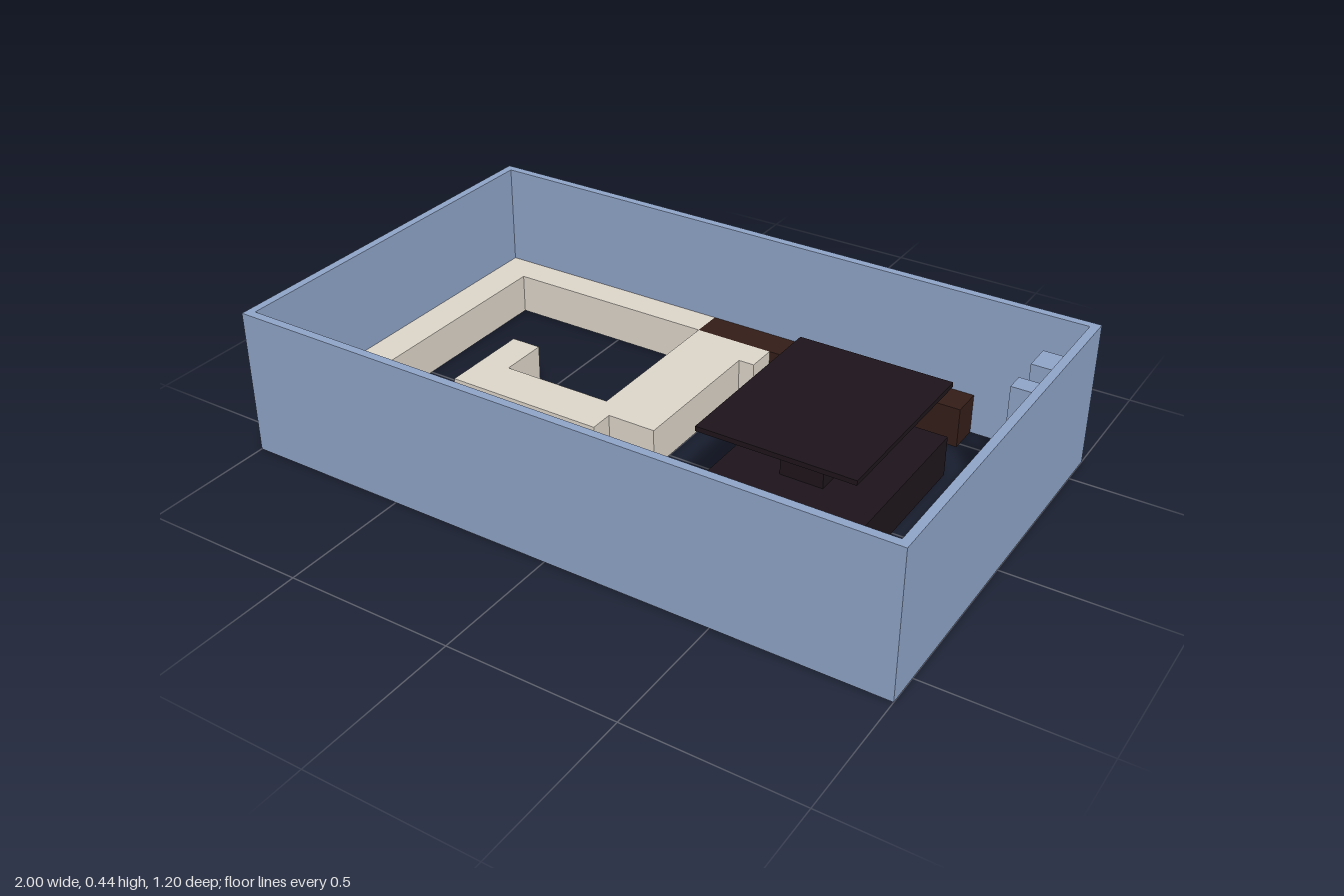
import * as THREE from 'three';
import { mergeGeometries } from 'three/addons/utils/BufferGeometryUtils.js';

const X = 0.975, Z = 0.575; // inner faces of the room walls
const WALL_H = 0.44, LOW = 0.125, TALL = 0.28;

const BLUE = 0x8fa4c8, BEIGE = 0xddd6ca, GREY = 0xb0b0b0;
const BACK_BROWN = 0x331d17, FRONT_BROWN = 0x281416, DARK = 0x1d141a;

const material = (color) =>
  new THREE.MeshStandardMaterial({ color, side: THREE.DoubleSide });

const rect = (x0, x1, z0, z1) => [[x0, z0], [x1, z0], [x1, z1], [x0, z1]];

// Open-bottomed unit: a top and vertical sides around a floor-plan outline,
// leaving out the sides that lie against a room wall
function cabinet(name, outline, height, color) {
  const shape = new THREE.Shape(outline.map(([x, z]) => new THREE.Vector2(x, -z)));
  const parts = [new THREE.ShapeGeometry(shape).rotateX(-Math.PI / 2).translate(0, height, 0)];
  outline.forEach(([x0, z0], i) => {
    const [x1, z1] = outline[(i + 1) % outline.length];
    const onWall = (x0 === x1 && Math.abs(x0) === X) || (z0 === z1 && Math.abs(z0) === Z);
    if (onWall) return;
    const dx = x1 - x0, dz = z1 - z0;
    parts.push(new THREE.PlaneGeometry(Math.hypot(dx, dz), height)
      .rotateY(Math.atan2(dz, -dx))
      .translate((x0 + x1) / 2, height / 2, (z0 + z1) / 2));
  });
  const mesh = new THREE.Mesh(mergeGeometries(parts), material(color));
  mesh.name = name;
  return mesh;
}

function box(name, x0, x1, y0, y1, z0, z1, color) {
  const mesh = new THREE.Mesh(new THREE.BoxGeometry(x1 - x0, y1 - y0, z1 - z0), material(color));
  mesh.position.set((x0 + x1) / 2, (y0 + y1) / 2, (z0 + z1) / 2);
  mesh.name = name;
  return mesh;
}

export function createModel() {
  const room = new THREE.Group();
  room.name = 'room';

  // Outer walls, open above and below
  const plan = (x, z) => rect(-x, x, -z, z).map(([a, b]) => new THREE.Vector2(a, b));
  const wallShape = new THREE.Shape(plan(1, 0.6));
  wallShape.holes.push(new THREE.Path(plan(X, Z)));
  const walls = new THREE.Mesh(
    new THREE.ExtrudeGeometry(wallShape, { depth: WALL_H, bevelEnabled: false }).rotateX(-Math.PI / 2),
    material(BLUE));
  walls.name = 'walls';
  room.add(walls);

  // Two short wall piers on the left wall
  for (const [z0, z1] of [[-0.41, -0.325], [-0.245, -0.19]]) {
    room.add(box('wallPier', 0.91, X, 0, 0.425, z0, z1, BLUE));
  }

  // Low counter running round three walls
  room.add(cabinet('wallCounter', [
    [-X, -Z], [-0.2, -Z], [-0.2, -0.48], [-0.87, -0.48],
    [-0.87, 0.475], [-0.52, 0.475], [-0.52, Z], [-X, Z],
  ], LOW, BEIGE));

  // Hooked peninsula counter
  room.add(cabinet('peninsulaCounter', [
    [-0.2, -0.48], [0.05, -0.48], [0.05, -0.385], [0, -0.385], [0, 0.08], [-0.15, 0.08],
    [-0.15, 0.155], [-0.645, 0.155], [-0.645, -0.13], [-0.55, -0.13], [-0.55, 0.02], [-0.2, 0.02],
  ], LOW, BEIGE));

  // Cupboards along the back and front walls
  room.add(cabinet('backSideboard', rect(-0.2, 0.67, -Z, -0.48), LOW, BACK_BROWN));
  room.add(cabinet('frontSideboard', rect(0.33, 0.77, 0.475, Z), TALL, FRONT_BROWN));
  room.add(cabinet('tallCupboard', [
    [-0.315, 0.475], [0.03, 0.475], [0.03, 0.45], [0.135, 0.45], [0.135, Z], [-0.315, Z],
  ], TALL, GREY));

  // Table: hollow plinth, pedestal and thin top
  const table = new THREE.Group();
  table.name = 'table';
  table.add(
    cabinet('tablePlinth', rect(0.23, 0.7, -0.33, 0.235), LOW, DARK),
    box('tablePedestal', 0.4, 0.53, LOW, 0.285, -0.18, 0.08, DARK),
    box('tableTop', 0.23, 0.7, 0.285, 0.3, -0.33, 0.235, DARK));
  room.add(table);

  return room;
}
